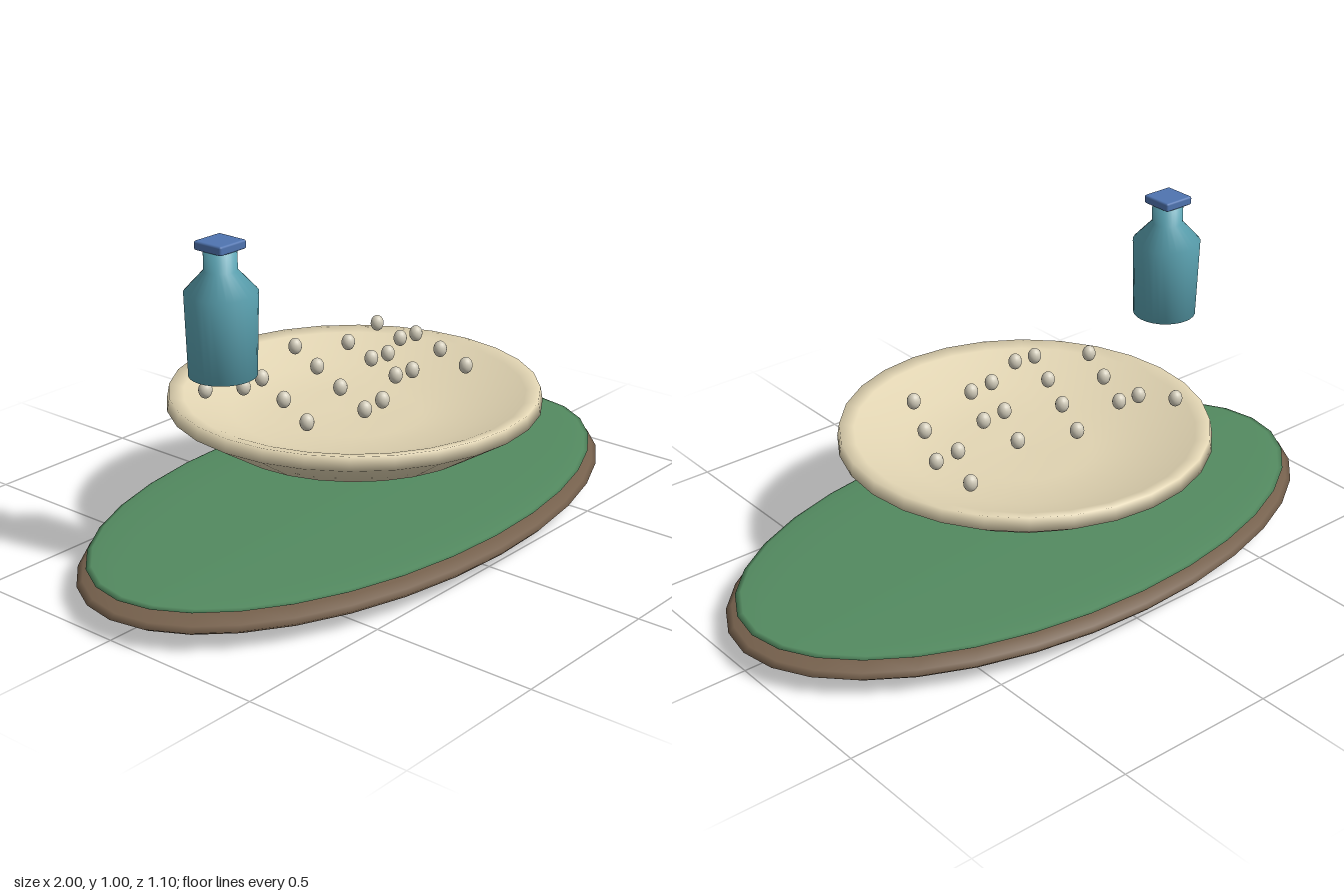
import * as THREE from 'three';
import { RoundedBoxGeometry } from 'three/addons/geometries/RoundedBoxGeometry.js';

const mat = (color) => new THREE.MeshStandardMaterial({ color });

function add(group, name, geometry, material, x, y, z) {
  const mesh = new THREE.Mesh(geometry, material);
  mesh.name = name;
  mesh.position.set(x, y, z);
  group.add(mesh);
  return mesh;
}

const lathe = (points, segments) =>
  new THREE.LatheGeometry(points.map(([r, y]) => new THREE.Vector2(r, y)), segments);

export function createModel() {
  const model = new THREE.Group();

  // Flattened oval base with a thinner green layer on top
  const oval = new THREE.SphereGeometry(1, 32, 16);
  add(model, 'base', oval, mat(0x75604c), 0, 0.06, 0).scale.set(1, 0.06, 0.55);
  add(model, 'greenLayer', oval, mat(0x538a60), 0, 0.105, 0).scale.set(0.97, 0.018, 0.525);

  // Shallow dish: flat foot, flared wall, narrow rim and hollow inside
  const dish = lathe([
    [0, 0.295], [0.4, 0.295], [0.55, 0.39], [0.543, 0.43],
    [0.5, 0.42], [0.36, 0.365], [0.2, 0.347], [0, 0.343],
  ], 28);
  add(model, 'dish', dish, mat(0xe2d5b3), 0, 0, 0);

  // Beads on a regular grid, arched higher towards the middle: [column, row]
  const cells = [
    [-5, -3], [0, -3], [5, -3], [-4, -2], [-3, -2], [2, -2], [-1, -1],
    [4, -1], [5, -1], [-4, 0], [1, 0], [2, 0], [-2, 1], [4, 1],
    [-5, 2], [0, 2], [1, 2], [-3, 3], [-2, 3], [3, 3],
  ];
  const beads = new THREE.Group();
  beads.name = 'beads';
  const beadGeometry = new THREE.SphereGeometry(1, 16, 12);
  const beadMaterial = mat(0xd2ccba);
  for (const [i, j] of cells) {
    add(beads, 'bead', beadGeometry, beadMaterial, i * 0.077, 0.498 - 0.0055 * Math.abs(i), j * 0.077)
      .scale.set(0.021, 0.025, 0.02);
  }
  model.add(beads);

  // Bottle with a square cap
  const bottle = new THREE.Group();
  bottle.name = 'bottle';
  bottle.position.x = -0.55;
  const body = lathe([
    [0, 0.62], [0.094, 0.62], [0.101, 0.855], [0.046, 0.915], [0.046, 0.975], [0, 0.975],
  ], 28);
  add(bottle, 'bottleBody', body, mat(0x5ba3b2), 0, 0, 0);
  add(bottle, 'bottleCap', new RoundedBoxGeometry(0.1, 0.026, 0.1, 2, 0.006), mat(0x4f74b0), 0, 0.984, 0);
  model.add(bottle);

  return model;
}
